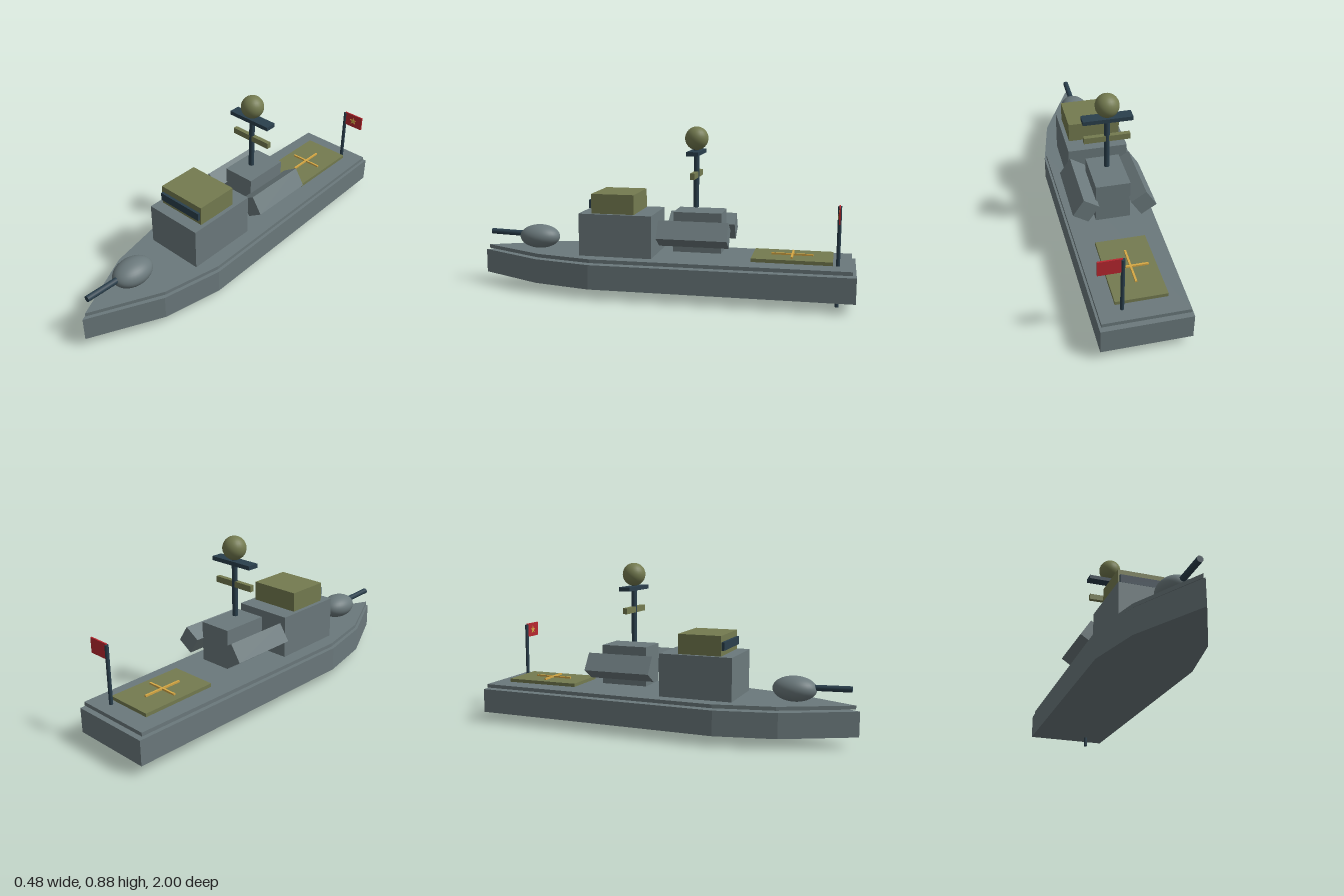
import * as THREE from 'three';

const paint = (name, color) => {
  const m = new THREE.MeshStandardMaterial({ color });
  m.name = name;
  return m;
};

export function createModel() {
  const grey = paint('hullGrey', 0x6b797c);
  const olive = paint('olive', 0x747b50);
  const navy = paint('darkNavy', 0x2a3f4c);
  const red = paint('flagRed', 0xb8272f);
  const gold = paint('gold', 0xd6a844);

  const ship = new THREE.Group();
  ship.name = 'patrolBoat';

  const add = (name, geometry, material, x = 0, y = 0, z = 0) => {
    const mesh = new THREE.Mesh(geometry, material);
    mesh.name = name;
    mesh.position.set(x, y, z);
    ship.add(mesh);
    return mesh;
  };
  // box given by its ranges on y and z, centred on x
  const block = (name, material, width, y0, y1, z0, z1) =>
    add(name, new THREE.BoxGeometry(width, y1 - y0, z1 - z0), material, 0, (y0 + y1) / 2, (z0 + z1) / 2);

  // plan outline, starboard and port mirrored, extruded upward
  const half = [[0.216, -1], [0.242, 0.33], [0.177, 0.64]];
  const planSlab = (sx, sz, height) => {
    const right = half.map(([x, z]) => new THREE.Vector2(x * sx, -z * sz));
    const left = half.map(([x, z]) => new THREE.Vector2(-x * sx, -z * sz)).reverse();
    const shape = new THREE.Shape([...right, new THREE.Vector2(0, -sz), ...left]);
    return new THREE.ExtrudeGeometry(shape, { depth: height, bevelEnabled: false }).rotateX(-Math.PI / 2);
  };
  add('hull', planSlab(1, 1, 0.128), grey, 0, 0.051, 0);
  add('deck', planSlab(0.96, 0.981, 0.019), grey, 0, 0.188, 0);

  // bow gun
  add('gunTurret', new THREE.SphereGeometry(1, 32, 20).scale(0.08, 0.064, 0.111), grey, 0, 0.268, 0.68);
  const barrel = add('gunBarrel', new THREE.CylinderGeometry(0.0155, 0.0155, 0.24, 16).rotateX(Math.PI / 2), navy, 0, 0.281, 0.84);
  barrel.rotation.x = -0.03;

  // bridge
  block('cabin', grey, 0.314, 0.205, 0.428, 0.018, 0.403);
  block('bridge', olive, 0.272, 0.428, 0.53, 0.113, 0.34);
  block('bridgeWindow', navy, 0.258, 0.456, 0.498, 0.338, 0.354);

  // tilted launchers on both sides
  for (const side of [1, -1]) {
    const launcher = add(side > 0 ? 'launcherLeft' : 'launcherRight',
      new THREE.BoxGeometry(0.092, 0.101, 0.357), grey, side * 0.146, 0.3425, -0.198);
    launcher.rotation.z = side * 0.576;
  }

  // mast with crossbars and radar dome
  block('mastBase', grey, 0.175, 0.238, 0.444, -0.332, -0.083);
  add('mast', new THREE.CylinderGeometry(0.0145, 0.0145, 0.302, 16), navy, 0, 0.611, -0.186);
  block('lowerCrossbar', olive, 0.234, 0.615, 0.646, -0.198, -0.174);
  block('upperCrossbar', navy, 0.25, 0.733, 0.754, -0.216, -0.156);
  add('radarDome', new THREE.SphereGeometry(0.06, 24, 16), olive, 0, 0.815, -0.186);

  // landing pad with its cross
  block('landingPad', olive, 0.25, 0.212, 0.23, -0.887, -0.485);
  block('padCrossLong', gold, 0.01, 0.23, 0.239, -0.788, -0.578);
  block('padCrossShort', gold, 0.175, 0.23, 0.239, -0.69, -0.68);

  // flag at the stern
  add('flagPole', new THREE.CylinderGeometry(0.0095, 0.0095, 0.505, 12), navy, 0.097, 0.2525, -0.911);
  add('flag', new THREE.BoxGeometry(0.113, 0.077, 0.008), red, 0.155, 0.472, -0.911);
  const star = new THREE.Shape();
  for (let i = 0; i < 10; i++) {
    const r = i % 2 ? 0.0095 : 0.0235;
    const a = Math.PI / 2 + (i * Math.PI) / 5;
    star[i ? 'lineTo' : 'moveTo'](r * Math.cos(a), r * Math.sin(a));
  }
  add('flagStar', new THREE.ExtrudeGeometry(star, { depth: 0.002, bevelEnabled: false }), gold, 0.155, 0.471, -0.907);

  return ship;
}
